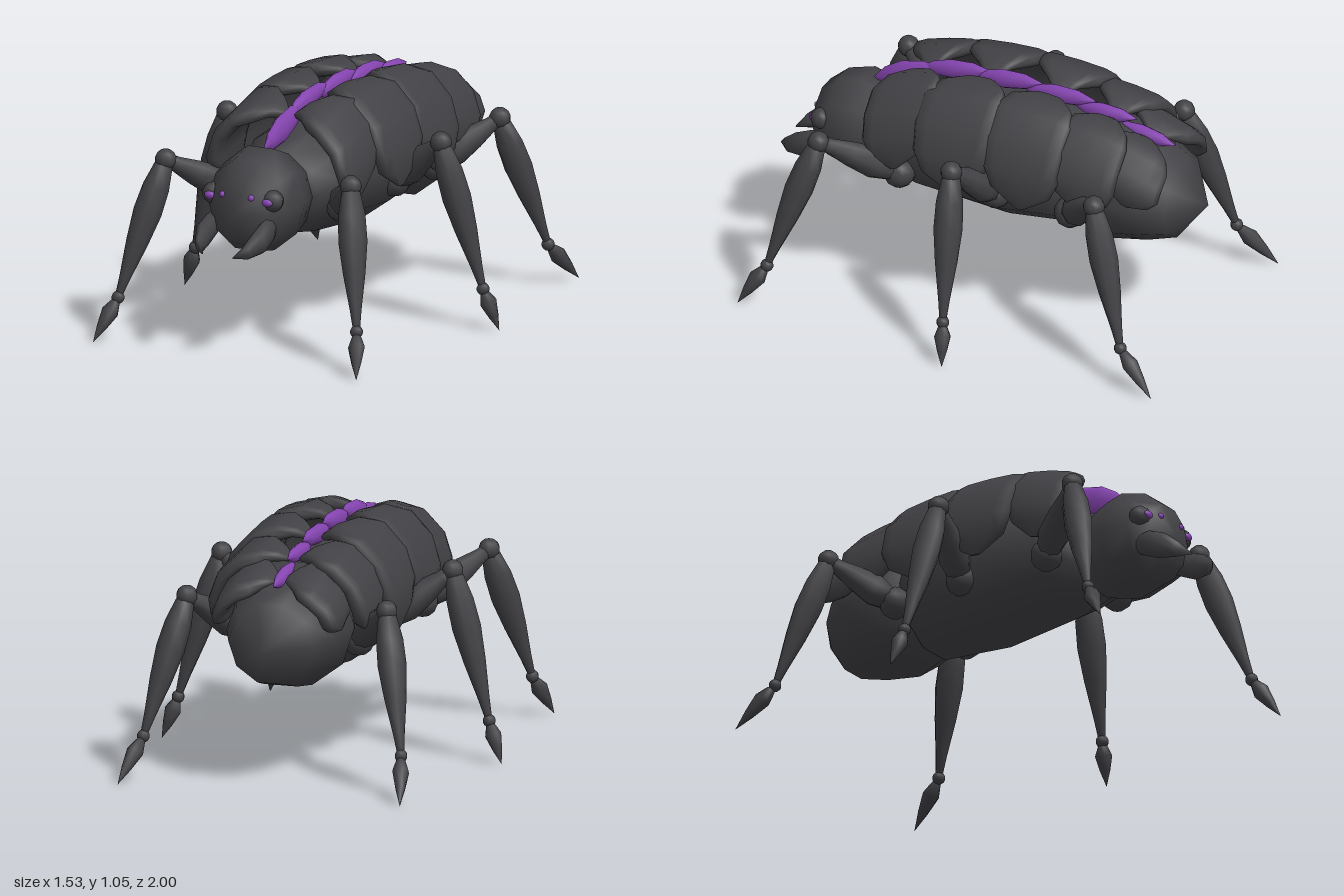
import * as THREE from 'three';
import { mergeVertices } from 'three/addons/utils/BufferGeometryUtils.js';

const shell = new THREE.MeshStandardMaterial({ color: 0x424246 });
shell.name = 'charcoalShell';
const glow = new THREE.MeshStandardMaterial({ color: 0x8846b4 });
glow.name = 'purple';

const V = (x, y, z) => new THREE.Vector3(x, y, z);

function add(parent, name, geometry, material = shell) {
  const mesh = new THREE.Mesh(geometry, material);
  mesh.name = name;
  parent.add(mesh);
  return mesh;
}

// Skin a row of closed rings; faces are turned outward by the sign of the volume.
function loft(rings) {
  const n = rings[0].length, pts = rings.flat(), index = [];
  for (let i = 0; i < rings.length - 1; i++) {
    for (let j = 0; j < n; j++) {
      const a = i * n + j, b = i * n + (j + 1) % n;
      index.push(a, b, a + n, b, b + n, a + n);
    }
  }
  const mid = pts.reduce((s, p) => s.add(p), V(0, 0, 0)).divideScalar(pts.length);
  let volume = 0;
  for (let i = 0; i < index.length; i += 3) {
    const [a, b, c] = [0, 1, 2].map((k) => pts[index[i + k]].clone().sub(mid));
    volume += a.dot(b.cross(c));
  }
  if (volume < 0) index.reverse();
  const g = new THREE.BufferGeometry().setFromPoints(pts);
  g.setIndex(index);
  const merged = mergeVertices(g, 1e-5);
  merged.computeVertexNormals();
  return merged;
}

// Body piece from [z, centre y, half width, half height] stations, ten-sided.
function hull(stations) {
  return loft(stations.map(([z, cy, rx, ry]) => Array.from({ length: 10 }, (_, j) => {
    const a = ((j + 0.5) / 10) * Math.PI * 2 - Math.PI / 2;
    return V(Math.cos(a) * rx, cy + Math.sin(a) * ry * 1.05, z);
  })));
}

// Turned limb piece between two points; profile is [radius, fraction along].
function spindle(parent, name, a, b, profile, material = shell) {
  const dir = b.clone().sub(a), len = dir.length();
  const g = new THREE.LatheGeometry(profile.map(([r, t]) => new THREE.Vector2(r, t * len)), 8);
  const mesh = add(parent, name, g, material);
  mesh.position.copy(a);
  mesh.quaternion.setFromUnitVectors(V(0, 1, 0), dir.normalize());
  return mesh;
}

function ball(parent, name, p, r, material = shell) {
  const mesh = add(parent, name, new THREE.SphereGeometry(r, 10, 7), material);
  mesh.position.copy(p);
  return mesh;
}

// Arched back plate: lens-shaped sections swept from the spine down one side.
const ARCH = [
  [0.05, 0.86, 0.12], [0.18, 0.95, 0.42], [0.38, 1, 0.8], [0.64, 0.94, 1],
  [0.89, 0.7, 1], [1, 0.4, 0.95], [1, 0.18, 0.75], [0.95, 0, 0.12],
];
function plate(side, { z, half, width, top, bottom, slope }) {
  const path = ARCH.map(([u, v]) => new THREE.Vector2(u * width, bottom + v * (top - bottom)));
  const bend = (t) => Math.sign(t) * Math.abs(t) ** 0.65;
  const rings = ARCH.map(([, , w], i) => {
    const p = path[i];
    const d = path[Math.min(i + 1, path.length - 1)].clone().sub(path[Math.max(i - 1, 0)]).normalize();
    const thick = 0.038 * Math.min(1, 0.25 + w);
    return Array.from({ length: 12 }, (_, k) => {
      const a = (k / 12) * Math.PI * 2;
      const dz = bend(Math.cos(a)) * half * w;
      const off = thick * (bend(Math.sin(a)) - 1);
      return V(side * (p.x - d.y * off), p.y + d.x * off + slope * dz, z + dz);
    });
  });
  const cap = (r) => r.map(() => r.reduce((s, p) => s.add(p), V(0, 0, 0)).divideScalar(r.length));
  return loft([cap(rings[0]), ...rings, cap(rings[rings.length - 1])]);
}

const PLATES = [
  { z: 0.35, half: 0.16, width: 0.355, top: 1.02, bottom: 0.65, slope: -0.25 },
  { z: 0.065, half: 0.19, width: 0.395, top: 1.055, bottom: 0.63, slope: -0.06 },
  { z: -0.255, half: 0.185, width: 0.395, top: 1.05, bottom: 0.62, slope: 0.08 },
  { z: -0.525, half: 0.16, width: 0.36, top: 1.0, bottom: 0.65, slope: 0.15 },
  { z: -0.7, half: 0.155, width: 0.285, top: 0.925, bottom: 0.69, slope: 0.35 },
];

// Hip, knee, ankle and toe of each left leg.
const LEGS = {
  front: [V(0.25, 0.59, 0.36), V(0.45, 0.77, 0.645), V(0.58, 0.19, 0.825), V(0.64, 0.01, 0.935)],
  middle: [V(0.25, 0.6, -0.09), V(0.52, 0.82, -0.01), V(0.7, 0.19, -0.055), V(0.765, 0.01, -0.08)],
  rear: [V(0.25, 0.59, -0.44), V(0.45, 0.77, -0.645), V(0.58, 0.19, -0.83), V(0.635, 0.01, -1.0)],
};

function leg(name, side) {
  const group = new THREE.Group();
  group.name = name;
  const key = name.match(/front|middle|rear/i)[0].toLowerCase();
  const [hip, knee, ankle, toe] = LEGS[key].map((p) => V(p.x * side, p.y, p.z));
  ball(group, 'hipJoint', hip, 0.07);
  spindle(group, 'thigh', hip, knee, [[0, 0], [0.05, 0.08], [0.07, 0.3], [0.055, 0.6], [0.035, 0.85], [0.03, 1], [0, 1]]);
  ball(group, 'kneeJoint', knee, 0.047);
  spindle(group, 'shin', knee, ankle, [[0, 0], [0.04, 0.04], [0.058, 0.2], [0.062, 0.38], [0.048, 0.6], [0.025, 0.85], [0.014, 1], [0, 1]]);
  ball(group, 'ankleJoint', ankle, 0.028);
  spindle(group, 'claw', ankle, toe, [[0, 0], [0.02, 0.1], [0.037, 0.32], [0.022, 0.65], [0, 1]]);
  return group;
}

// Curved tapering jaw.
function jaw(side) {
  const path = [[0.12, 0.59, 0.72, 0.025], [0.135, 0.57, 0.8, 0.045], [0.135, 0.535, 0.88, 0.047],
    [0.115, 0.505, 0.95, 0.028], [0.07, 0.485, 1.0, 0]];
  return loft([[...path[0].slice(0, 3), 0], ...path].map(([x, y, z, r]) => Array.from({ length: 8 }, (_, k) => {
    const a = (k / 8) * Math.PI * 2;
    return V(side * (x + Math.cos(a) * r * 0.75), y + Math.sin(a) * r * 1.15, z + Math.sin(a) * r * 0.4);
  })));
}

export function createModel() {
  const model = new THREE.Group();
  model.name = 'beetle';

  // Body and head
  add(model, 'thorax', hull([[0.52, 0.645, 0, 0], [0.47, 0.65, 0.2, 0.175], [0.3, 0.67, 0.265, 0.225],
    [-0.08, 0.675, 0.285, 0.265], [-0.42, 0.675, 0.25, 0.235], [-0.5, 0.67, 0, 0]]));
  add(model, 'abdomen', hull([[-0.3, 0.67, 0, 0], [-0.38, 0.67, 0.21, 0.215], [-0.56, 0.67, 0.275, 0.265],
    [-0.72, 0.655, 0.245, 0.225], [-0.85, 0.635, 0.19, 0.17], [-0.97, 0.62, 0, 0]]));
  add(model, 'head', hull([[0.42, 0.645, 0, 0], [0.46, 0.645, 0.165, 0.17], [0.62, 0.655, 0.212, 0.222],
    [0.74, 0.65, 0.19, 0.195], [0.82, 0.64, 0.135, 0.14], [0.86, 0.635, 0, 0]]));

  // Spine crest: overlapping purple blades, each [front z, y, rear z, y, radius]
  [[0.6, 0.86, 0.26, 0.98, 0.065], [0.38, 0.97, 0.04, 1.025, 0.045], [0.14, 0.99, -0.2, 1.025, 0.045],
    [-0.1, 0.985, -0.45, 1.0, 0.045], [-0.34, 0.96, -0.64, 0.96, 0.04], [-0.52, 0.92, -0.82, 0.875, 0.04]]
    .forEach(([z0, y0, z1, y1, r]) => {
      const blade = spindle(model, 'spineBlade', V(0, y0, z0), V(0, y1, z1),
        [[0, 0], [r * 0.7, 0.2], [r, 0.45], [r * 0.8, 0.75], [0, 1]], glow);
      blade.scale.x = 0.028 / r;
    });

  for (const [side, label] of [[1, 'left'], [-1, 'right']]) {
    PLATES.forEach((p, i) => add(model, `${label}BackPlate${i + 1}`, plate(side, p)));
    for (const key of ['Front', 'Middle', 'Rear']) model.add(leg(`${label}${key}Leg`, side));
    add(model, `${label}Jaw`, jaw(side));

    // Eyes
    ball(model, `${label}EyeSocket`, V(side * 0.145, 0.695, 0.775), 0.047);
    ball(model, `${label}Eye`, V(side * 0.14, 0.695, 0.815), 0.026, glow).scale.set(1, 0.65, 0.6);
    ball(model, `${label}SmallEye`, V(side * 0.07, 0.71, 0.828), 0.014, glow);
  }
  return model;
}
